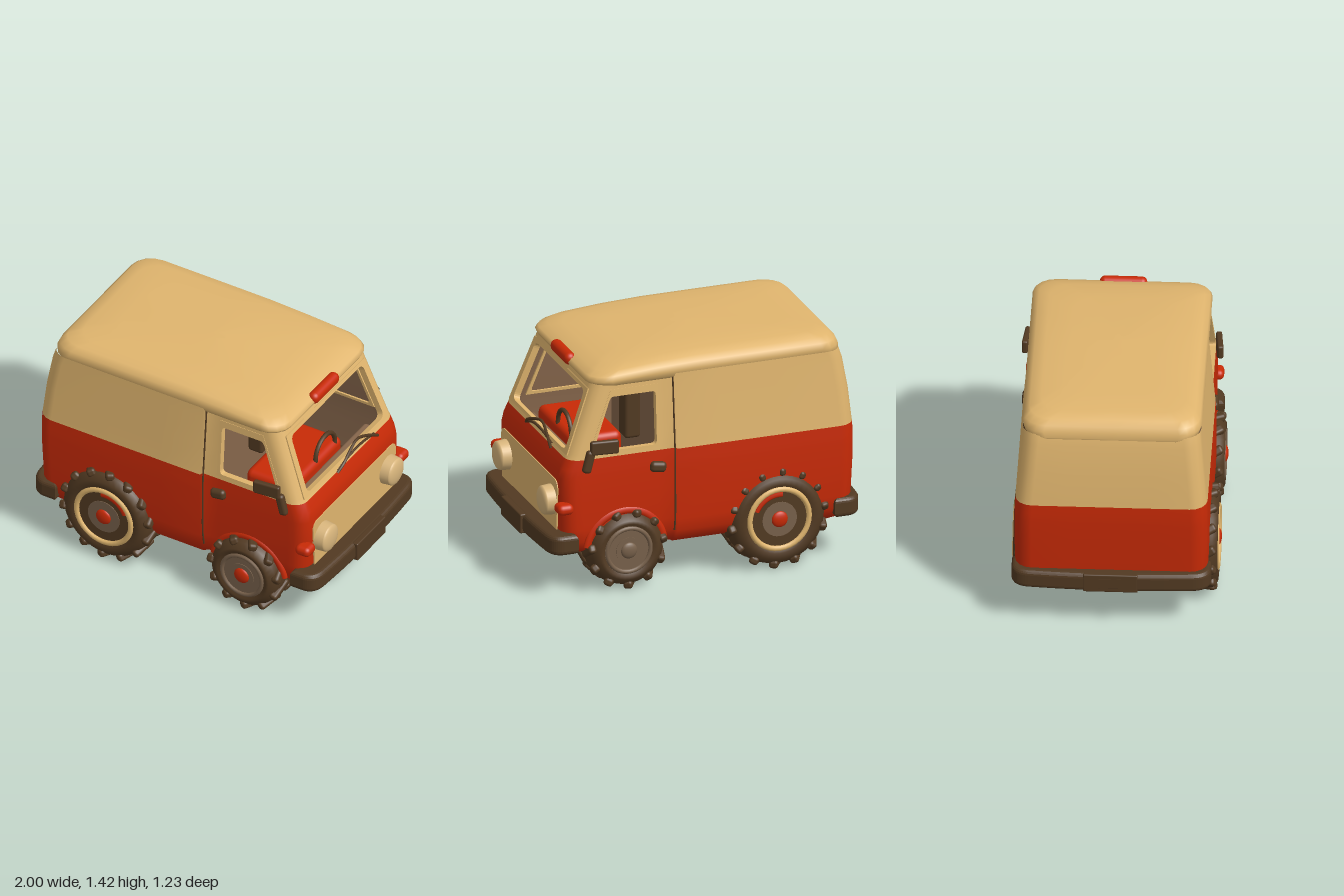
import * as THREE from 'three';
import { RoundedBoxGeometry } from 'three/addons/geometries/RoundedBoxGeometry.js';

const V = (x, y, z) => new THREE.Vector3(x, y, z);
const mat = (name, color) => {
  const m = new THREE.MeshStandardMaterial({ color });
  m.name = name;
  return m;
};

// Surface over closed rings of points; keep(column, row) leaves out openings
function skin(rows, keep = () => true, flip = false) {
  const n = rows[0].length, idx = [];
  for (let j = 0; j < rows.length - 1; j++) for (let i = 0; i < n; i++) {
    if (!keep(i, j)) continue;
    const a = j * n + i, b = j * n + (i + 1) % n, c = b + n, d = a + n;
    idx.push(...(flip ? [a, c, b, a, d, c] : [a, b, c, a, c, d]));
  }
  const g = new THREE.BufferGeometry().setFromPoints(rows.flat());
  g.setIndex(idx);
  g.computeVertexNormals();
  return g;
}

// Mirror half a ring (tail centre to nose centre) across z = 0
const fullRing = (half, y) => [...half, ...half.slice(1, -1).reverse().map(([x, z]) => [x, -z])]
  .map(([x, z]) => V(x, y, z));
const flatten = ring => ring.map(p => V(p.x, p.y, 0));

const corner = (cx, cz, r, from, to, n = 4) => Array.from({ length: n + 1 }, (_, i) => {
  const a = from + (to - from) * i / n;
  return [cx + r * Math.cos(a), cz + r * Math.sin(a)];
});

export function createModel() {
  const cream = mat('cream paint', 0xe0b56e);
  const red = mat('red paint', 0xc82a06);
  const dark = mat('dark brown rubber', 0x523a22);
  const lining = mat('brown lining', 0x87674c);
  const metal = mat('dull wheel metal', 0x77604a);
  const lens = mat('lamp lens', 0xd8b57c);

  const model = new THREE.Group();
  const body = new THREE.Group();
  body.name = 'vanBody';
  body.position.z = -0.015;
  model.add(body);

  const add = (name, geo, m, parent = body, pos = [0, 0, 0], rot = [0, 0, 0]) => {
    const mesh = new THREE.Mesh(geo, m);
    mesh.name = name;
    mesh.position.set(...pos);
    mesh.rotation.set(...rot);
    parent.add(mesh);
    return mesh;
  };
  const rbox = (name, w, h, d, m, parent, pos, rot, r = 0.02) =>
    add(name, new RoundedBoxGeometry(w, h, d, 3, r), m, parent, pos, rot);
  const tube = (name, pts, r, m) =>
    add(name, new THREE.TubeGeometry(new THREE.CatmullRomCurve3(pts.map(p => V(...p))), 24, r, 6), m);

  // Body shell: height, tail x, nose x, half width
  const levels = [
    [0.225, -0.86, 0.78, 0.44], [0.26, -0.91, 0.83, 0.50], [0.32, -0.935, 0.86, 0.53],
    [0.40, -0.94, 0.87, 0.543], [0.60, -0.95, 0.878, 0.545], [0.72, -0.953, 0.878, 0.545],
    [0.78, -0.953, 0.865, 0.543], [0.84, -0.95, 0.838, 0.54], [0.87, -0.947, 0.824, 0.537],
    [1.05, -0.93, 0.755, 0.521], [1.235, -0.90, 0.685, 0.505], [1.30, -0.88, 0.66, 0.50]];
  const PI = Math.PI, R = 0.1, r = 0.085, bulge = 0.022;
  const rings = levels.map(([y, xb, xf, hz]) => fullRing([
    [xb, 0], [xb, 0.25],
    ...corner(xb + R, hz + bulge - R, R, PI, PI / 2),
    [-0.45, hz + bulge], [-0.1, hz + bulge], [0.165, hz + bulge], [0.175, hz],
    [0.28, hz], [xf - 0.125, hz],
    ...corner(xf - r, hz - r, r, PI / 2, 0),
    [xf, 0.2], [xf, 0]], y));
  const N = rings[0].length, SEAM = 7;
  const halfCol = i => (i < N / 2 ? i : N - 1 - i);
  const opening = (cols, i, y) => y > 0.86 && y < 1.22 && cols.includes(halfCol(i));
  add('lowerBody', skin([flatten(rings[0]), ...rings.slice(0, SEAM + 1)]), red);
  add('upperBody', skin(rings.slice(SEAM), (i, j) => !opening([11, 17, 18], i, levels[SEAM + j][0])), cream);

  // Cab lining, seen only from inside, and bulkhead
  const inner = rings.slice(2).map(ring => ring.map(p => V(p.x - 0.02, p.y, p.z * 0.95)));
  add('cabLining', skin(inner, (i, j) => halfCol(i) >= 10 && !opening([17, 18], i, levels[j + 2][0]), true), lining);
  rbox('bulkhead', 0.02, 1.0, 0.97, lining, body, [0.18, 0.79, 0], [0, 0, 0], 0.005);

  // Window surrounds: a plate with a rounded hole mapped onto each opening
  function windowFrame(name, [A, B, C, D], ru, rv, top) {
    const s = new THREE.Shape([[-.03, -.03], [1.03, -.03], [1.03, 1.03], [-.03, 1.03]].map(p => new THREE.Vector2(...p)));
    const h = new THREE.Path(), a = 0.02, b = 0.98;
    h.moveTo(a + ru, a);
    h.lineTo(b - ru, a).quadraticCurveTo(b, a, b, a + rv);
    h.lineTo(b, top - rv).quadraticCurveTo(b, top, b - ru, top);
    h.lineTo(a + ru, top).quadraticCurveTo(a, top, a, top - rv);
    h.lineTo(a, a + rv).quadraticCurveTo(a, a, a + ru, a);
    s.holes.push(h);
    const g = new THREE.ExtrudeGeometry(s, { depth: 0.04, bevelEnabled: false, curveSegments: 6 });
    const n = B.clone().sub(A).cross(D.clone().sub(A)).normalize();
    const p = g.attributes.position;
    for (let i = 0; i < p.count; i++) {
      const u = p.getX(i), v = p.getY(i);
      const q = A.clone().lerp(B, u).lerp(D.clone().lerp(C, u), v).addScaledVector(n, p.getZ(i) - 0.037);
      p.setXYZ(i, q.x, q.y, q.z);
    }
    g.computeVertexNormals();
    add(name, g, cream);
  }
  const quad = (a, b) => [rings[8][a], rings[8][b], rings[10][b], rings[10][a]];
  windowFrame('rightWindowFrame', quad(11, 12), 0.06, 0.08, 0.91);
  windowFrame('leftWindowFrame', quad(N - 12, N - 11), 0.06, 0.08, 0.91);
  windowFrame('windscreenFrame', quad(17, N - 17), 0.05, 0.1, 0.97);

  // Roof with overhanging gutter, dipping towards the nose
  const roofRows = [[1.265, -0.885, 0.66, 0.50], [1.285, -0.89, 0.68, 0.515], [1.32, -0.885, 0.69, 0.526],
    [1.355, -0.87, 0.675, 0.515], [1.385, -0.84, 0.63, 0.485], [1.403, -0.77, 0.56, 0.42],
    [1.412, -0.6, 0.4, 0.27], [1.415, -0.15, 0.0, 0.03]].map(([y, xb, xf, hz]) => {
    const q = Math.min(0.13, hz * 0.8);
    return fullRing([[xb, 0], ...corner(xb + q, hz - q, q, PI, PI / 2),
      ...[0.2, 0.4, 0.6, 0.8].map(t => [xb + q + (xf - xb - 2 * q) * t, hz]),
      ...corner(xf - q, hz - q, q, PI / 2, 0), [xf, 0]], y)
      .map(p => V(p.x, p.y - 0.045 * Math.max(0, (p.x + 0.1) / 0.75) ** 2 * Math.min(1, (y - 1.265) / 0.12), p.z));
  });
  add('roof', skin([flatten(roofRows[0]), ...roofRows, flatten(roofRows.at(-1))]), cream);
  rbox('roofLamp', 0.07, 0.075, 0.28, red, body, [0.672, 1.31, 0], [0, 0, 0], 0.034);

  // Nose panel
  const panel = new THREE.Shape();
  panel.moveTo(-0.45, 0.36);
  panel.lineTo(0.45, 0.36).lineTo(0.468, 0.64).quadraticCurveTo(0.468, 0.7, 0.41, 0.7);
  panel.lineTo(-0.41, 0.7).quadraticCurveTo(-0.468, 0.7, -0.468, 0.64);
  add('nosePanel', new THREE.ExtrudeGeometry(panel, { depth: 0.008, bevelEnabled: false }), cream, body, [0.875, 0, 0], [0, PI / 2, 0]);

  // Bumpers with a centre plate
  const bump = new THREE.Shape();
  bump.moveTo(0.82, 0.555);
  bump.lineTo(0.88, 0.555).quadraticCurveTo(0.935, 0.55, 0.94, 0.47).quadraticCurveTo(0.975, 0, 0.94, -0.47);
  bump.quadraticCurveTo(0.935, -0.55, 0.88, -0.555).lineTo(0.82, -0.555).lineTo(0.82, -0.5);
  bump.lineTo(0.84, -0.5).lineTo(0.84, 0.5).lineTo(0.82, 0.5);
  const bumpGeo = new THREE.ExtrudeGeometry(bump, { depth: 0.064, bevelSize: 0.028, bevelThickness: 0.028, bevelSegments: 4 });
  bumpGeo.rotateX(PI / 2);
  for (const [end, turn] of [['front', 0], ['rear', PI]]) {
    add(end + 'Bumper', bumpGeo, dark, body, [turn ? -0.015 : 0, 0.362, 0], [0, turn, 0]);
    rbox(end + 'BumperPlate', 0.04, 0.12, 0.32, dark, body, [turn ? -0.98 : 0.98, 0.33, 0], [0, 0, 0], 0.008);
  }

  // Fittings on both sides
  for (const s of [1, -1]) {
    add('headlampRim', new THREE.CylinderGeometry(0.086, 0.092, 0.06, 32), lens, body, [0.905, 0.555, s * 0.372], [0, 0, -PI / 2]);
    add('headlampLens', new THREE.SphereGeometry(0.086, 32, 16), lens, body, [0.935, 0.555, s * 0.372]).scale.x = 0.32;
    rbox('indicator', 0.1, 0.065, 0.1, red, body, [0.865, 0.55, s * 0.53], [0, 0, 0], 0.03);
    rbox('doorHandle', 0.1, 0.065, 0.05, dark, body, [0.285, 0.74, s * 0.55], [0, 0, 0.15], 0.024);
    rbox('mirror', 0.17, 0.085, 0.035, dark, body, [0.625, 0.915, s * 0.565], [0, s * 0.1, 0], 0.012);
    rbox('mirrorBracket', 0.055, 0.14, 0.045, dark, body, [0.718, 0.83, s * 0.55], [0, 0, 0.25], 0.02);
    const seam = rings.slice(2).map(ring => ring[s > 0 ? 10 : N - 10]);
    tube('doorSeam', seam.map(p => [p.x, p.y, p.z]), 0.006, dark);
    add('frontArchLip', new THREE.TorusGeometry(0.24, 0.024, 10, 32, PI * 0.9), red, body, [0.485, 0.25, s * 0.535], [0, 0, PI * 0.05]).scale.z = 0.7;
  }

  // Wipers
  tube('wiperLong', [[0.85, 0.845, 0.14], [0.86, 0.88, 0.09], [0.85, 0.915, 0], [0.84, 0.935, -0.1], [0.85, 0.9, -0.2], [0.86, 0.84, -0.3]], 0.009, dark);
  tube('wiperShort', [[0.845, 0.85, 0.13], [0.85, 0.885, 0.02], [0.85, 0.89, -0.12], [0.845, 0.86, -0.28]], 0.008, dark);

  // Cab interior
  rbox('seat', 0.32, 0.28, 0.58, red, body, [0.53, 0.7, 0.1], [0, 0, 0], 0.04);
  rbox('dashboard', 0.12, 0.24, 0.9, lining, body, [0.74, 0.65, 0]);
  add('steeringWheel', new THREE.TorusGeometry(0.11, 0.014, 8, 32), dark, body, [0.67, 0.835, -0.02], [0.9, PI / 2, 0]);
  rbox('pillarBox', 0.1, 0.36, 0.12, dark, body, [0.25, 0.9, 0.02]);
  add('pillarStem', new THREE.CylinderGeometry(0.04, 0.025, 0.2, 12), dark, body, [0.25, 1.17, 0.01]);

  // Underside plates
  rbox('underPlate', 0.4, 0.03, 0.72, dark, body, [0.06, 0.23, 0], [0, 0, 0], 0.01);
  rbox('underSpine', 0.95, 0.03, 0.32, dark, body, [-0.02, 0.227, 0], [0, 0, 0], 0.01);

  // Wheels: chunky tyre with angled lugs, rim, dish and hub
  function wheel(name, x, z, rad, rimR, lugs, rear) {
    const g = new THREE.Group();
    g.name = name;
    g.position.set(x, rad, z);
    if (z < 0) g.rotation.y = PI;
    model.add(g);
    const h = 0.142, t = rad - 0.014;
    const profile = [[rimR, -h + 0.01], [rimR + 0.02, -h], [t - 0.05, -h], [t - 0.015, -h + 0.03], [t, -h + 0.08],
      [t, h - 0.08], [t - 0.015, h - 0.03], [t - 0.05, h], [rimR + 0.02, h], [rimR, h - 0.01]];
    add('tyre', new THREE.LatheGeometry(profile.map(p => new THREE.Vector2(...p)), 40), dark, g, [0, 0, 0], [PI / 2, 0, 0]);
    const lug = new RoundedBoxGeometry(0.05, 0.055, 0.15, 2, 0.018);
    for (let i = 0; i < lugs * 2; i++) {
      const side = i % 2 ? 1 : -1;
      const arm = new THREE.Group();
      arm.rotation.z = i * PI / lugs;
      g.add(arm);
      add('treadLug', lug, dark, arm, [rad - 0.026, 0, side * 0.066], [side * 0.55, 0, 0]);
    }
    const disc = (n, q, from, to, m) => add(n, new THREE.CylinderGeometry(q, q, to - from, 32), m, g, [0, 0, (from + to) / 2], [PI / 2, 0, 0]);
    disc('dish', rimR + 0.01, 0, 0.134, rear ? dark : metal);
    disc('innerDish', rimR + 0.01, -0.134, 0, cream);
    for (const s of [1, -1])
      add('rim', new THREE.TorusGeometry(rimR - 0.01, rear ? 0.018 : 0.014, 8, 36), rear || s < 0 ? cream : metal, g, [0, 0, s * 0.132]);
    disc('hubPlate', rimR * 0.55, -0.137, 0.138, metal);
    // Red sliver showing behind the rear rim, towards the nose
    if (rear) add('dishSliver', new THREE.TorusGeometry(rimR - 0.042, 0.016, 6, 20, 1.3), red, g, [0, 0, 0.134], [0, 0, z > 0 ? 0.4 : PI - 1.7]).scale.z = 0.3;
    const capRed = rear || z > 0;
    add('hubCap', new THREE.SphereGeometry(0.05, 20, 12), capRed ? red : metal, g, [0, 0, 0.138]).scale.z = 0.4;
  }
  for (const s of [1, -1]) {
    wheel('rearWheel', -0.463, s * 0.455, 0.314, 0.195, 14, true);
    wheel('frontWheel', 0.475, s * 0.45, 0.248, 0.145, 11, false);
  }
  return model;
}
